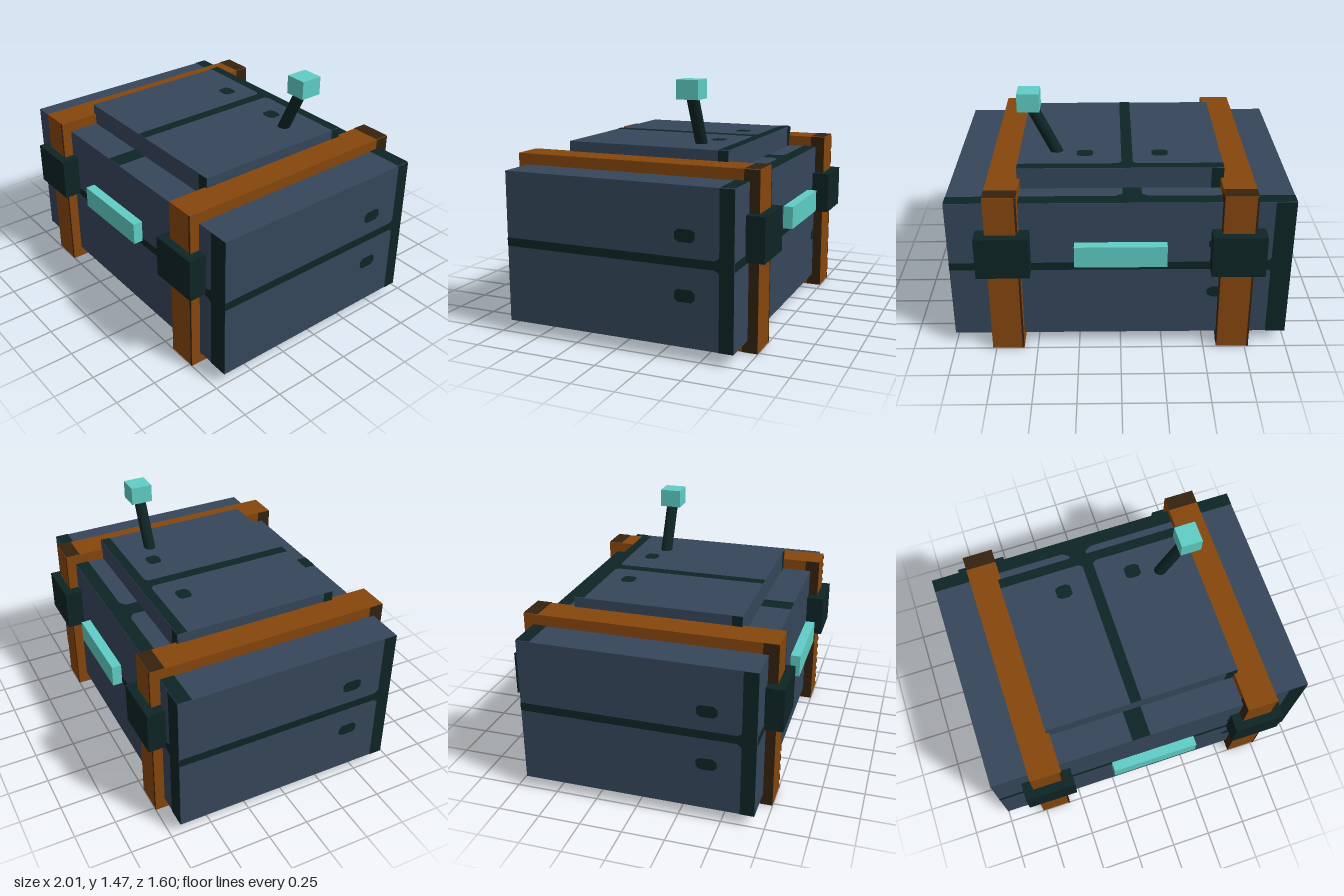
import * as THREE from 'three';

const mat = (name, color) => {
  const m = new THREE.MeshStandardMaterial({ color });
  m.name = name;
  return m;
};

export function createModel() {
  const slate = mat('slate', 0x35465a);
  const dark = mat('darkTrim', 0x0e2424);
  const orange = mat('orangeStrap', 0x86460d);
  const brown = mat('darkBrown', 0x34220f);
  const teal = mat('teal', 0x5fcdc5);
  const model = new THREE.Group();
  model.name = 'crate';

  // Box given by its lower and upper corners
  const box = (name, material, lo, hi, parent = model) => {
    const size = hi.map((v, i) => v - lo[i]);
    const mesh = new THREE.Mesh(new THREE.BoxGeometry(...size), material);
    mesh.position.set(...hi.map((v, i) => (v + lo[i]) / 2));
    mesh.name = name;
    parent.add(mesh);
    return mesh;
  };

  // Across and up directions of each box face
  const faces = {
    front: [[1, 0, 0], [0, 1, 0]],
    right: [[0, 0, -1], [0, 1, 0]],
    back: [[-1, 0, 0], [0, 1, 0]],
    left: [[0, 0, 1], [0, 1, 0]],
    top: [[0, 0, -1], [-1, 0, 0]],
    bottom: [[0, 0, -1], [1, 0, 0]],
  };

  // Flat shapes in 0..1 face coordinates, laid just above a box face
  const decal = (name, material, owner, face, shapes) => {
    const U = new THREE.Vector3(...faces[face][0]);
    const V = new THREE.Vector3(...faces[face][1]);
    const N = U.clone().cross(V);
    const { width, height, depth } = owner.geometry.parameters;
    const size = new THREE.Vector3(width, height, depth);
    const span = (d) => Math.abs(d.dot(size));
    const geo = new THREE.ShapeGeometry(shapes);
    geo.translate(-0.5, -0.5, 0);
    geo.scale(span(U), span(V), 1);
    geo.applyMatrix4(new THREE.Matrix4().makeBasis(U, V, N));
    const shift = N.clone().multiplyScalar(span(N) / 2 + 0.003);
    geo.translate(shift.x, shift.y, shift.z);
    const mesh = new THREE.Mesh(geo, material);
    mesh.position.copy(owner.position);
    mesh.name = name;
    owner.parent.add(mesh);
  };

  const poly = (pts) => new THREE.Shape(pts.map(([x, y]) => new THREE.Vector2(x, y)));
  const edge = poly([[0.94, 0], [1, 0], [1, 1], [0.94, 1]]);
  // Edge stripe joined to the middle seam with small chamfers
  const seam = poly([[0, 0.506], [0.922, 0.506], [0.94, 0.486], [0.94, 0], [1, 0], [1, 1],
    [0.94, 1], [0.94, 0.582], [0.922, 0.562], [0, 0.562]]);
  // Rounded bolt recess
  const bolt = (v) => {
    const u = 0.798, a = 0.043, b = 0.04;
    return poly([[-a, -b / 2], [-a * 0.65, -b], [a * 0.65, -b], [a, -b / 2],
      [a, b / 2], [a * 0.65, b], [-a * 0.65, b], [-a, b / 2]].map(([x, y]) => [u + x, v + y]));
  };
  const fullTrim = [seam, bolt(0.326), bolt(0.697)];

  // Main case and raised lid
  const body = box('body', slate, [-1, 0.07, -0.692], [1, 0.958, 0.692]);
  const lid = box('lid', slate, [-0.6, 0.95, -0.505], [0.598, 1.085, 0.505]);
  for (const face of Object.keys(faces)) {
    decal('bodyTrim', dark, body, face, fullTrim);
    if (face === 'top') decal('lidTrim', dark, lid, face, fullTrim);
    else if (face !== 'bottom') decal('lidEdge', dark, lid, face, [edge]);
  }

  // Straps with darker edges, and the clasps over them
  for (const s of [-1, 1]) {
    const x = s * 0.677;
    const group = new THREE.Group();
    group.name = s > 0 ? 'leftStrap' : 'rightStrap';
    model.add(group);
    const strap = box('strap', orange, [x - 0.095, 0, -0.75], [x + 0.095, 1.024, 0.75], group);
    for (const face of Object.keys(faces)) decal('strapEdge', brown, strap, face, [edge]);
    for (const z of [-0.73, 0.73]) {
      box('clasp', dark, [x - 0.155, 0.53, z - 0.07], [x + 0.155, 0.787, z + 0.07], group);
    }
  }

  // Handles, front and back
  for (const z of [-0.757, 0.757]) {
    box('handle', teal, [-0.266, 0.592, z - 0.029], [0.266, 0.725, z + 0.029]);
  }

  // Slanted lever and its knob
  const from = new THREE.Vector3(0.35, 1.03, -0.255);
  const to = new THREE.Vector3(0.53, 1.4, -0.255);
  const dir = to.clone().sub(from);
  const lever = new THREE.Mesh(new THREE.CylinderGeometry(0.036, 0.036, dir.length(), 16), dark);
  lever.position.copy(from).add(to).multiplyScalar(0.5);
  lever.quaternion.setFromUnitVectors(new THREE.Vector3(0, 1, 0), dir.normalize());
  lever.name = 'lever';
  model.add(lever);
  box('leverKnob', teal, [0.465, 1.358, -0.322], [0.595, 1.469, -0.188]);

  return model;
}
